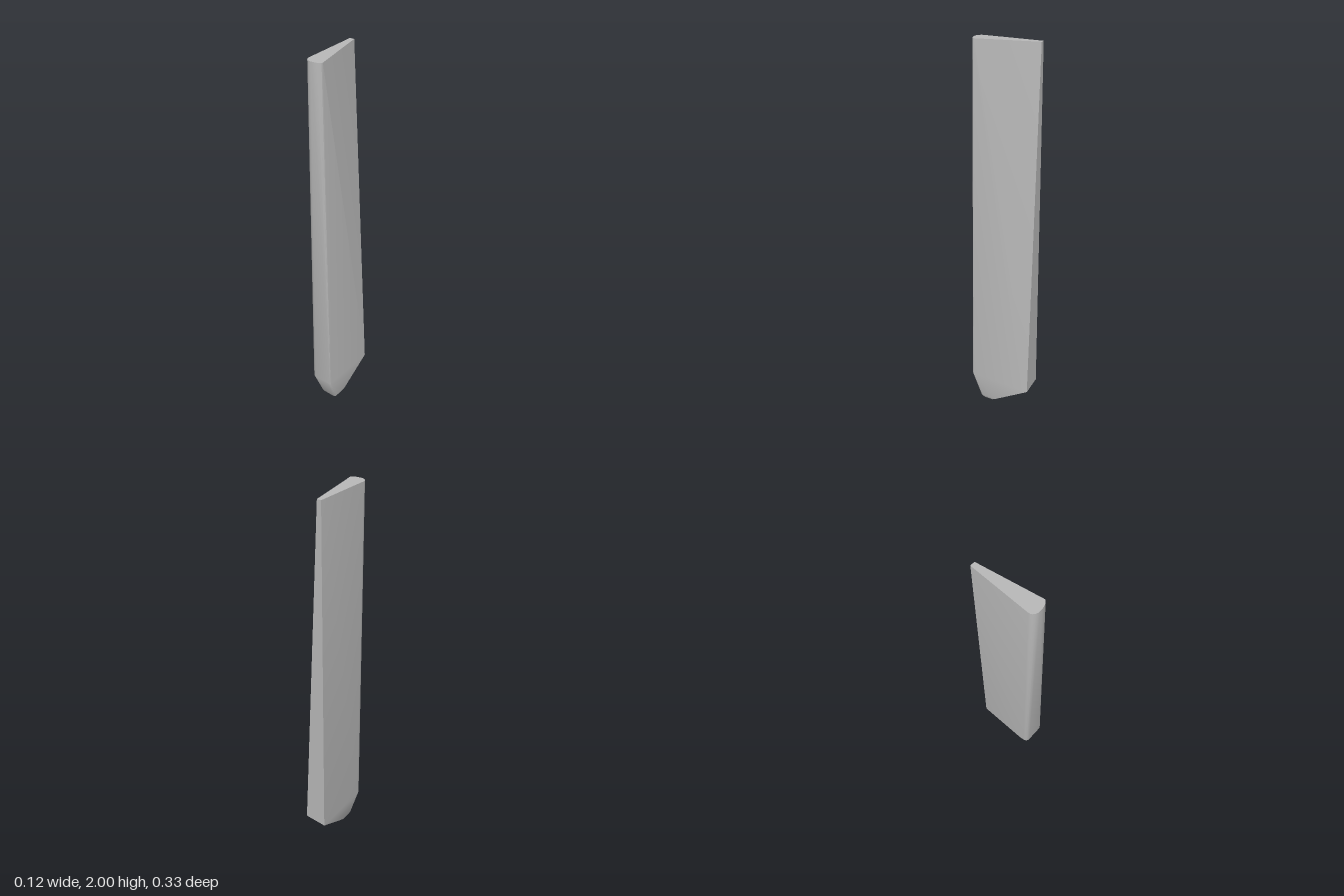
import * as THREE from 'three';
import { toCreasedNormals } from 'three/addons/utils/BufferGeometryUtils.js';

const V = (x, y, z) => new THREE.Vector3(x, y, z);

// Cross-section: left/right x at the front, right x at the back, z and y of back and front,
// and the size (x, z) of the two rounded front corners
function section({ left, right, backRight, back, front, yBack, yFront, rl, rr }) {
  const points = [V(left, yBack, back)];
  const steps = 5;
  for (let i = 0; i <= steps; i++) {
    const t = (i / steps) * Math.PI / 2;
    points.push(V(left + rl[0] * (1 - Math.cos(t)), yFront, front - rl[1] * (1 - Math.sin(t))));
  }
  for (let i = 0; i <= steps; i++) {
    const t = (i / steps) * Math.PI / 2;
    points.push(V(right - rr[0] * (1 - Math.sin(t)), yFront, front - rr[1] * (1 - Math.cos(t))));
  }
  points.push(V(backRight, yBack, back));
  return points;
}

// Joins sections from top to bottom and closes both ends
function loft(sections, topCentre, bottomCentre) {
  const out = [];
  const tri = (...corners) => corners.forEach((p) => out.push(p.x, p.y, p.z));
  const n = sections[0].length;
  const last = sections[sections.length - 1];
  for (let j = 0; j < n; j++) {
    const k = (j + 1) % n;
    tri(topCentre, sections[0][j], sections[0][k]);
    for (let i = 0; i + 1 < sections.length; i++) {
      const up = sections[i], low = sections[i + 1];
      tri(up[j], low[j], low[k]);
      tri(up[j], low[k], up[k]);
    }
    tri(bottomCentre, last[k], last[j]);
  }
  const geometry = new THREE.BufferGeometry();
  geometry.setAttribute('position', new THREE.Float32BufferAttribute(out, 3));
  return toCreasedNormals(geometry, 0.5);
}

export function createModel() {
  const group = new THREE.Group();
  const grey = new THREE.MeshStandardMaterial({ color: 0xb8b8b8 });
  grey.name = 'plain grey';

  const sections = [
    // slanted, narrow top
    section({ left: -0.063, right: 0.021, backRight: -0.04, back: -0.165, front: 0.161,
      yBack: 2, yFront: 2, rl: [0.035, 0.03], rr: [0.045, 0.02] }),
    // shoulder where the blunt point begins
    section({ left: -0.063, right: 0.062, backRight: 0.062, back: -0.165, front: 0.164,
      yBack: 0.14, yFront: 0.165, rl: [0.025, 0.025], rr: [0.008, 0.006] }),
    // rounded tip
    section({ left: -0.038, right: 0.058, backRight: 0.058, back: 0.03, front: 0.115,
      yBack: 0.023, yFront: 0.027, rl: [0.015, 0.015], rr: [0.01, 0.01] }),
    section({ left: -0.031, right: 0.05, backRight: 0.05, back: 0.05, front: 0.105,
      yBack: 0.009, yFront: 0.012, rl: [0.015, 0.015], rr: [0.01, 0.01] }),
    section({ left: -0.015, right: 0.035, backRight: 0.035, back: 0.062, front: 0.088,
      yBack: 0.002, yFront: 0.004, rl: [0.01, 0.01], rr: [0.01, 0.01] }),
  ];
  const post = new THREE.Mesh(loft(sections, V(-0.03, 2, 0.05), V(0.01, 0, 0.073)), grey);
  post.name = 'taperedPost';
  group.add(post);
  return group;
}
